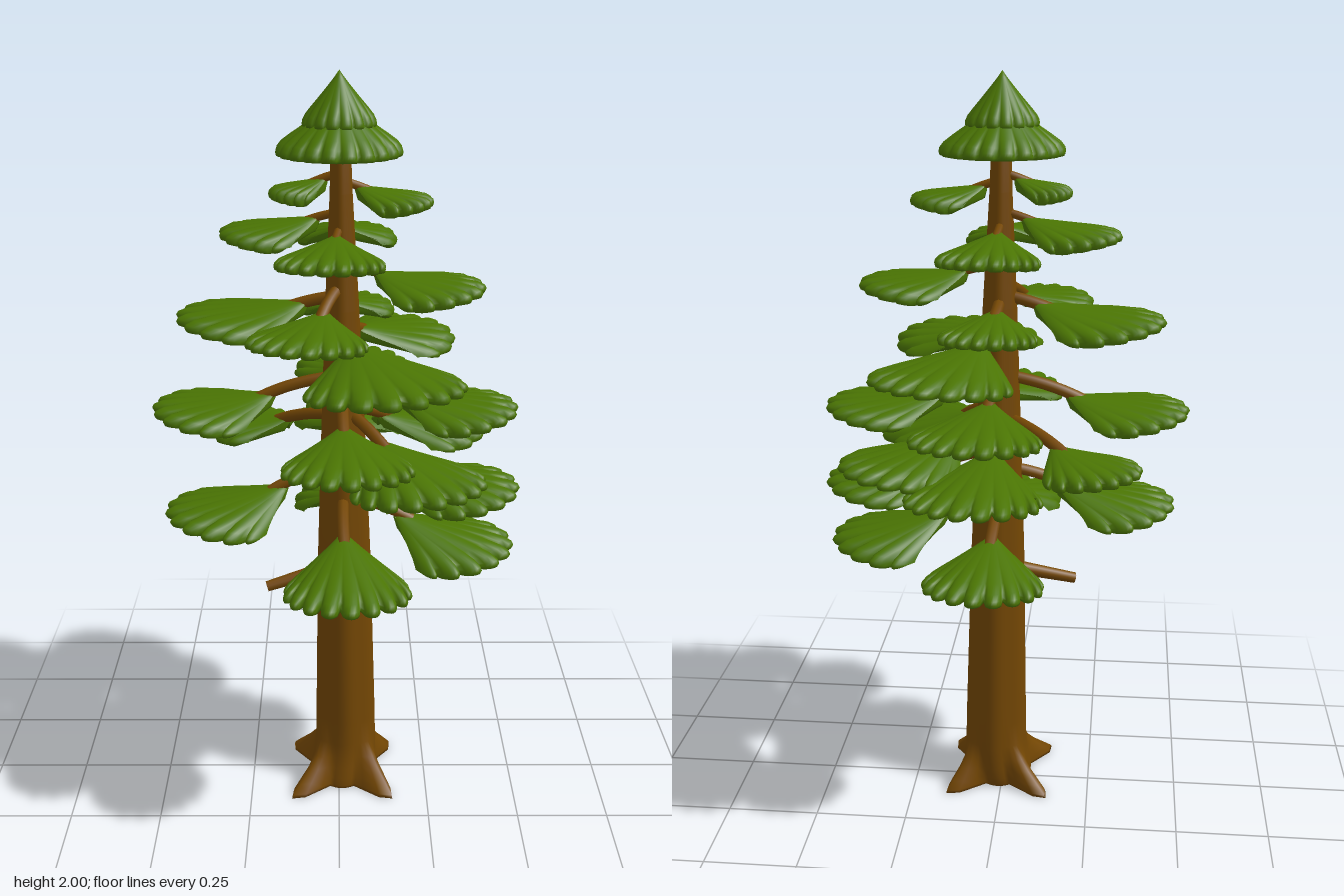
import * as THREE from 'three';
import { mergeVertices } from 'three/addons/utils/BufferGeometryUtils.js';

const bark = new THREE.MeshStandardMaterial({ color: 0x744703 });
bark.name = 'bark brown';
const needles = new THREE.MeshStandardMaterial({ color: 0x4a7403 });
needles.name = 'needle green';

const add = (parent, name, geometry, material) => {
  const mesh = new THREE.Mesh(geometry, material);
  mesh.name = name;
  parent.add(mesh);
  return mesh;
};

// Trunk axis leans very slightly
const axis = (y) => new THREE.Vector3(0.021 * (1 - y / 2.2), y, 0.01);

// Scalloped foliage sheet around an apex, closed by an underside.
// spread: half angle; reach(u): edge radius; height(t, u): top surface; u runs -1..1
function foliage({ spread, lobes, notch, thickness, reach, height, closed = false }) {
  const cols = lobes * 8;
  // [fraction of radius, share of thickness below the top]
  const rings = [[0, 0], [0.12, 0], [0.3, 0], [0.55, 0], [0.78, 0], [0.92, 0.05], [0.985, 0.25], [1, 0.5],
    [0.985, 0.8], [0.92, 1], [0.7, 1], [0.35, 1], [0.08, 1], [0, closed ? 1 : 0.5]];
  const pos = [], index = [];
  for (const [t, depth] of rings) {
    for (let j = 0; j <= cols; j++) {
      const u = (j / cols) * 2 - 1;
      const lobe = Math.abs(Math.sin((j / cols) * lobes * Math.PI));
      const r = reach(u) * t * (1 - notch * t ** 4 * (1 - Math.sqrt(lobe)));
      const thick = closed ? thickness : thickness * (1 - u ** 12);
      const rib = 0.009 * t ** 5 * (lobe - 1);
      const a = u * spread;
      pos.push(r * Math.sin(a), height(t, u) + rib * (1 - depth) - thick * depth, r * Math.cos(a));
    }
  }
  const w = cols + 1;
  for (let i = 0; i < rings.length - 1; i++) {
    for (let j = 0; j < cols; j++) {
      const a = i * w + j, b = a + w;
      index.push(a, b, a + 1, b, b + 1, a + 1);
    }
  }
  const g = new THREE.BufferGeometry();
  g.setAttribute('position', new THREE.Float32BufferAttribute(pos, 3));
  g.setIndex(index);
  const merged = mergeVertices(g, 1e-5);
  merged.computeVertexNormals();
  return merged;
}

// Tapered trunk with four flared roots
function trunkGeometry() {
  const profile = [[0, 0], [0.09, 0], [0.093, 0.008], [0.094, 0.03], [0.092, 0.06], [0.09, 0.09], [0.088, 0.13],
    [0.087, 0.2], [0.075, 0.7], [0.061, 1.05], [0.046, 1.4], [0.03, 1.7], [0.024, 1.88], [0, 1.9]];
  let g = new THREE.LatheGeometry(profile.map(([x, y]) => new THREE.Vector2(x, y)), 48);
  const p = g.attributes.position;
  for (let i = 0; i < p.count; i++) {
    const x = p.getX(i), y = p.getY(i), z = p.getZ(i);
    const root = Math.max(0, -Math.cos(4 * Math.atan2(x, z))) ** 2;
    const flare = Math.max(0, 1 - y / 0.14) ** 1.6;
    const k = 1 + root * flare * 1.25 + 0.03 * Math.cos(6 * Math.atan2(x, z));
    const c = axis(y);
    p.setXYZ(i, x * k + c.x - 0.012 * flare, y, z * k + c.z + 0.016 * flare);
  }
  g.deleteAttribute('normal');
  g.deleteAttribute('uv');
  g = mergeVertices(g, 1e-5);
  g.computeVertexNormals();
  return g;
}

// [tip x, tip z, distance of apex from trunk, apex y, tip y, half angle of the fan]
const boughs = [
  [-0.18, 0.01, 0.03, 1.74, 1.715], [0.24, 0.02, 0.04, 1.72, 1.695],
  [-0.31, -0.03, 0.05, 1.64, 1.61], [-0.04, 0.31, 0.05, 1.605, 1.58], [0.04, -0.29, 0.04, 1.61, 1.575],
  [0.38, 0.03, 0.09, 1.50, 1.475, 1.15],
  [-0.43, -0.03, 0.08, 1.42, 1.39], [-0.13, 0.37, 0.10, 1.42, 1.395], [0.04, -0.29, 0.05, 1.41, 1.38],
  [0.20, 0.42, 0.07, 1.33, 1.285], [0.23, -0.38, 0.08, 1.33, 1.285],
  [0.48, 0.01, 0.15, 1.17, 1.145], [-0.50, 0.01, 0.17, 1.17, 1.145],
  [0.03, 0.51, 0.16, 1.135, 1.11, 0.92], [0.06, -0.49, 0.14, 1.19, 1.165, 0.92],
  [-0.35, -0.26, 0.17, 1.06, 1.035], [0.38, -0.28, 0.13, 1.08, 1.035],
  [0.07, -0.51, 0.10, 1.05, 1.015, 0.8], [0.31, 0.38, 0.14, 1.08, 1.025],
  [0.49, 0.04, 0.16, 0.96, 0.925, 1.12], [-0.47, 0.08, 0.14, 0.915, 0.865],
  [0.03, 0.50, 0.17, 0.84, 0.77, 0.98], [0.48, 0.04, 0.15, 0.825, 0.755, 1.12], [0.04, -0.44, 0.14, 0.82, 0.76],
];

function makeBough([tx, tz, start, apexY, tipY, spread = 1.05]) {
  const bough = new THREE.Group();
  bough.name = 'bough';
  const dir = new THREE.Vector3(tx, 0, tz).normalize();
  const apex = dir.clone().multiplyScalar(start).setY(apexY);
  const length = Math.hypot(tx, tz) - start;
  const drop = apexY - tipY;

  // Fan of needles, its sides drooping from a central ridge
  const fan = add(bough, 'needleFan', foliage({
    spread, lobes: 11, notch: 0.15, thickness: 0.034,
    reach: (u) => length * (1 - 0.45 * u * u),
    height: (t, u) => -drop * t - 0.1 * length * Math.sqrt(t) * u * u,
  }), needles);
  fan.position.copy(apex);
  fan.rotation.y = Math.atan2(tx, tz);

  // Limb arching from the trunk into the fan
  const rise = start < 0.1 ? 0.005 : 0.03;
  const curve = new THREE.QuadraticBezierCurve3(
    axis(apexY + rise + start * 0.1),
    dir.clone().multiplyScalar(start * 0.75).setY(apexY + rise),
    dir.clone().multiplyScalar(start + 0.05).setY(apexY - 0.02));
  add(bough, 'limb', new THREE.TubeGeometry(curve, 8, apexY > 1.45 ? 0.011 : 0.016, 8), bark);
  return bough;
}

export function createModel() {
  const tree = new THREE.Group();
  tree.name = 'conifer';
  add(tree, 'trunk', trunkGeometry(), bark);

  // Broken stub low on the trunk
  const from = new THREE.Vector3(0, 0.665, 0.01), to = new THREE.Vector3(-0.2, 0.615, 0.05);
  const span = to.clone().sub(from);
  const stub = add(tree, 'stub', new THREE.CylinderGeometry(0.015, 0.021, span.length(), 10), bark);
  stub.position.copy(from).add(to).multiplyScalar(0.5);
  stub.quaternion.setFromUnitVectors(new THREE.Vector3(0, 1, 0), span.normalize());

  for (const b of boughs) tree.add(makeBough(b));

  // Two-tier crown
  const tiers = [
    ['crownSkirt', 0.162, 20, 1.935, 0.115, 0.034],
    ['crownTip', 0.095, 16, 2.0, 0.115, 0.026],
  ];
  for (const [name, radius, lobes, top, fall, thickness] of tiers) {
    const tier = add(tree, name, foliage({
      spread: Math.PI, lobes, notch: 0.1, thickness, closed: true,
      reach: () => radius,
      height: (t) => -fall * t ** 0.92,
    }), needles);
    tier.position.y = top;
  }
  return tree;
}
